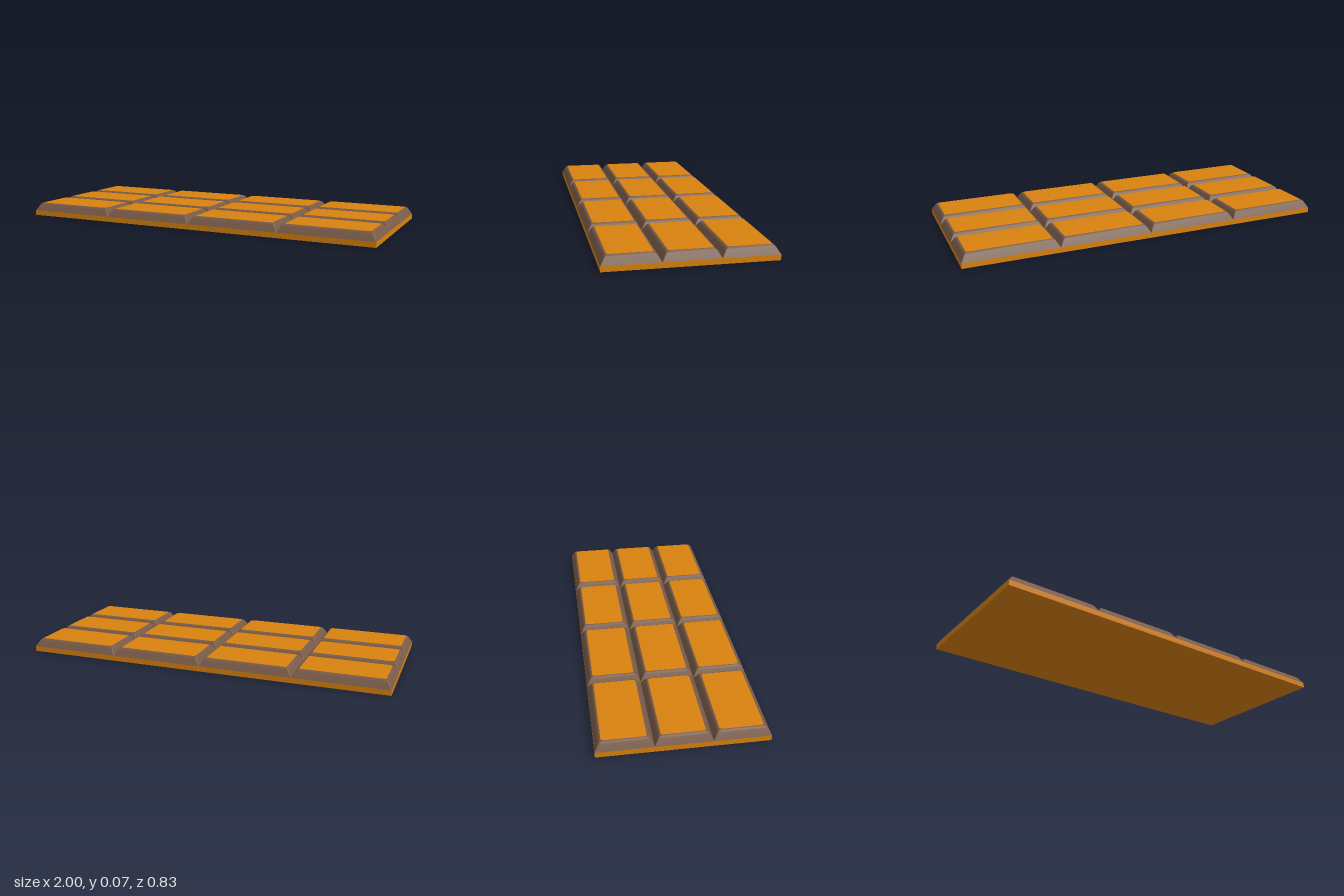
import * as THREE from 'three';

const WIDTH = 2, DEPTH = 0.83, BASE = 0.028;
const COLS = 4, ROWS = 3, CORNER_STEPS = 3;

// Rounded rectangle, anticlockwise seen from above
function ring(halfX, halfZ, radius, y) {
  const points = [];
  const corners = [[1, 1], [-1, 1], [-1, -1], [1, -1]];
  corners.forEach(([sx, sz], c) => {
    for (let i = 0; i <= CORNER_STEPS; i++) {
      const a = (c + i / CORNER_STEPS) * Math.PI / 2;
      points.push(
        sx * (halfX - radius) + radius * Math.cos(a),
        y,
        -(sz * (halfZ - radius) + radius * Math.sin(a))
      );
    }
  });
  return points;
}

// Bevelled block: group 0 is the sloping side, group 1 the flat top
function blockGeometry(w, d) {
  // [inset, height, corner radius]
  const levels = [[0, BASE, 0.002], [0.018, 0.06, 0.006], [0.024, 0.067, 0.009], [0.032, 0.071, 0.012]];
  const n = 4 * (CORNER_STEPS + 1);
  const positions = [], index = [];
  for (const [inset, y, r] of levels) positions.push(...ring(w / 2 - inset, d / 2 - inset, r, y));
  for (let l = 0; l < levels.length - 1; l++) {
    for (let i = 0; i < n; i++) {
      const a = l * n + i, b = l * n + (i + 1) % n;
      index.push(a, b, b + n, a, b + n, a + n);
    }
  }
  const sideCount = index.length;
  const top = (levels.length - 1) * n, centre = levels.length * n;
  positions.push(0, levels[levels.length - 1][1], 0);
  for (let i = 0; i < n; i++) index.push(centre, top + i, top + (i + 1) % n);

  const geometry = new THREE.BufferGeometry();
  geometry.setAttribute('position', new THREE.Float32BufferAttribute(positions, 3));
  geometry.setIndex(index);
  geometry.addGroup(0, sideCount, 0);
  geometry.addGroup(sideCount, index.length - sideCount, 1);
  geometry.computeVertexNormals();
  return geometry;
}

export function createModel() {
  const caramel = new THREE.MeshStandardMaterial({ color: 0xd9820f });
  caramel.name = 'caramel orange';
  const chocolate = new THREE.MeshStandardMaterial({ color: 0x795b48 });
  chocolate.name = 'chocolate brown';

  const bar = new THREE.Group();
  bar.name = 'chocolateBar';

  // Thin slab under all the blocks
  const base = new THREE.Mesh(new THREE.BoxGeometry(WIDTH, BASE, DEPTH), caramel);
  base.name = 'base';
  base.position.y = BASE / 2;
  bar.add(base);

  // Grid of bevelled blocks
  const w = WIDTH / COLS, d = DEPTH / ROWS;
  const geometry = blockGeometry(w, d);
  for (let row = 0; row < ROWS; row++) {
    for (let col = 0; col < COLS; col++) {
      const block = new THREE.Mesh(geometry, [chocolate, caramel]);
      block.name = `block_${row + 1}_${col + 1}`;
      block.position.set((col + 0.5) * w - WIDTH / 2, 0, (row + 0.5) * d - DEPTH / 2);
      bar.add(block);
    }
  }
  return bar;
}
